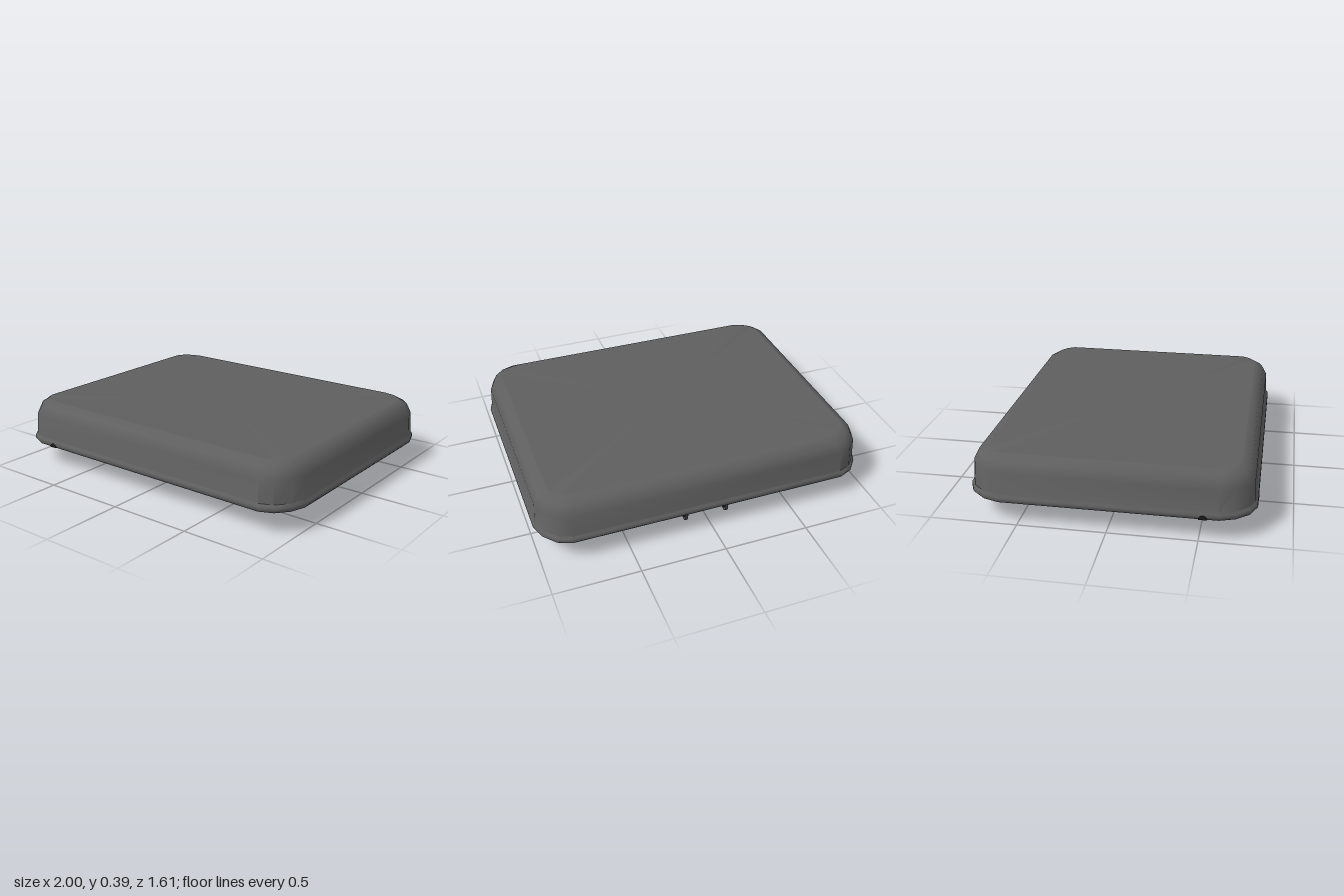
import * as THREE from 'three';
import { toCreasedNormals } from 'three/addons/utils/BufferGeometryUtils.js';

const HALF_X = 1, HALF_Z = 0.803;
const CORNER = [[1, 0], [0.82, 0.46], [0.46, 0.83], [0, 1]];

// Rounded rectangle, set in from the widest outline, four points per corner
function ring(inset, y) {
  const rx = 0.17 - inset * 0.3, rz = 0.2 - inset * 1.1;
  const points = [];
  for (let corner = 0; corner < 4; corner++) {
    const sx = corner === 0 || corner === 3 ? 1 : -1;
    const sz = corner < 2 ? 1 : -1;
    const steps = corner % 2 ? [...CORNER].reverse() : CORNER;
    for (const [u, v] of steps) {
      points.push([
        sx * (HALF_X - inset - rx + rx * u),
        y,
        sz * (HALF_Z - inset - rz + rz * v),
      ]);
    }
  }
  return points;
}

// Skin a run of [inset, y] rings, with a flat cap on the first or last ring
function loft(profile, capFirst) {
  const rings = profile.map(([inset, y]) => ring(inset, y));
  const n = rings[0].length, last = rings.length - 1;
  const positions = rings.flat(2), index = [];
  for (let i = 0; i < last; i++) {
    for (let j = 0; j < n; j++) {
      const k = (j + 1) % n;
      const a = i * n + j, b = i * n + k, c = b + n, d = a + n;
      index.push(a, d, b, b, d, c);
    }
  }
  const centre = n * rings.length;
  positions.push(0, profile[capFirst ? 0 : last][1], 0);
  for (let j = 0; j < n; j++) {
    const k = (j + 1) % n;
    if (capFirst) index.push(centre, j, k);
    else index.push(centre, last * n + k, last * n + j);
  }
  const geometry = new THREE.BufferGeometry();
  geometry.setAttribute('position', new THREE.Float32BufferAttribute(positions, 3));
  geometry.setIndex(index);
  return toCreasedNormals(geometry, 0.75);
}

// Extrude a (z, y) outline across x
function extrudeAcross(shape, width) {
  return new THREE.ExtrudeGeometry(shape, { depth: width, bevelEnabled: false, curveSegments: 8 })
    .translate(0, 0, -width / 2)
    .rotateY(-Math.PI / 2);
}

function makeMaterial(name, color) {
  const material = new THREE.MeshStandardMaterial({ color });
  material.name = name;
  return material;
}

export function createModel() {
  const group = new THREE.Group();
  const grey = makeMaterial('grey', 0x5f5f5f);
  const liningGrey = makeMaterial('lining grey', 0x323232);
  const hingeGrey = makeMaterial('hinge grey', 0x4a4a4a);
  const black = makeMaterial('black', 0x1a1a1a);

  const add = (name, geometry, material, parent = group) => {
    const mesh = new THREE.Mesh(geometry, material);
    mesh.name = name;
    parent.add(mesh);
    return mesh;
  };

  // Outer shell: rolled rim, wall, rounded shoulder, flat top
  add('lidShell', loft([
    [0.01, 0.128], [0.002, 0.138], [0, 0.147], [0.002, 0.16], [0.013, 0.172],
    [0.02, 0.3], [0.047, 0.356], [0.095, 0.386], [0.105, 0.386],
  ], false), grey);

  // Lining: flat ceiling, wall, underside of the rim
  add('lidLining', loft([
    [0.05, 0.335], [0.04, 0.128], [0.01, 0.128],
  ], true), liningGrey);

  // Small dark notches in the rim, front and right
  const notchShape = new THREE.CylinderGeometry(0.024, 0.024, 0.009, 12, 1, false,
    Math.PI / 2, Math.PI).rotateX(Math.PI / 2);
  add('frontNotch', notchShape, black).position.set(-0.71, 0.13, HALF_Z - 0.003);
  const sideNotch = add('sideNotch', notchShape, black);
  sideNotch.position.set(-HALF_X + 0.003, 0.13, 0.52);
  sideNotch.rotation.y = -Math.PI / 2;

  // Hinge bracket under the back edge
  const hinge = new THREE.Group();
  hinge.name = 'hingeBracket';
  group.add(hinge);

  const arm = new THREE.Shape();
  arm.moveTo(-0.765, 0.19);
  arm.lineTo(-0.765, 0.135);
  arm.lineTo(-0.745, 0.122);
  arm.lineTo(-0.722, 0.095);
  arm.lineTo(-0.715, 0.03);
  arm.absarc(-0.687, 0.028, 0.028, Math.PI, Math.PI * 2, false);
  arm.lineTo(-0.652, 0.1);
  arm.lineTo(-0.655, 0.18);
  arm.closePath();

  for (const side of [-1, 1]) {
    const x = side * 0.126;
    add('hingeArm', extrudeAcross(arm, 0.016), hingeGrey, hinge).position.x = x;
    const pivot = add('hingePivot', new THREE.CylinderGeometry(0.017, 0.017, 0.026, 12)
      .rotateZ(Math.PI / 2), black, hinge);
    pivot.position.set(x - side * 0.002, 0.038, -0.687);
  }

  // Web joining the arms to the back wall
  const web = new THREE.Shape([
    new THREE.Vector2(-0.765, 0.135), new THREE.Vector2(-0.725, 0.103),
    new THREE.Vector2(-0.705, 0.103), new THREE.Vector2(-0.705, 0.135),
    new THREE.Vector2(-0.765, 0.18),
  ]);
  add('hingeWeb', extrudeAcross(web, 0.25), liningGrey, hinge);

  return group;
}
